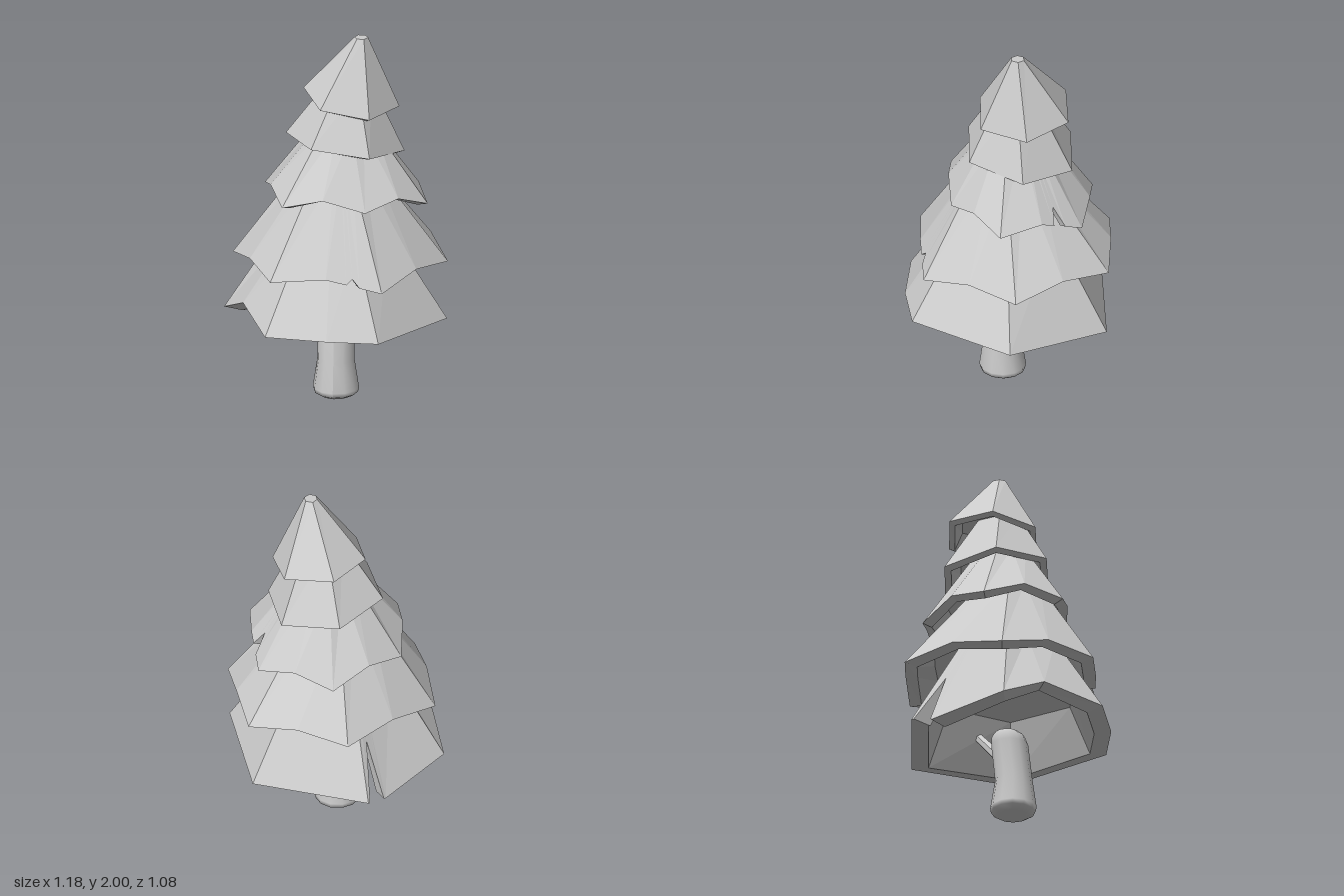
import * as THREE from 'three';

const material = new THREE.MeshStandardMaterial({ color: 0xcccccc, flatShading: true });
const barkMaterial = new THREE.MeshStandardMaterial({ color: 0xcccccc });
const vec = (x, y, z) => new THREE.Vector3(x, y, z);

// Rim outline: every edge rises and swells towards its middle.
// One edge may carry a notch, returned as the height to climb at each point.
function makeRim(corners, mid, lift, bulge, notch) {
  const rim = [], climbs = [];
  corners.forEach((a, i) => {
    const b = corners[(i + 1) % corners.length];
    const notched = notch && notch.edge === i;
    const stops = lift ? [0, 0.5] : [0];
    if (notched) stops.push(notch.at - notch.width, notch.at, notch.at + notch.width);
    for (const t of stops) {
      const arch = 1 - Math.abs(2 * t - 1);
      const spread = 1 + bulge * arch;
      const p = a.clone().lerp(b, t);
      rim.push(vec(mid.x + (p.x - mid.x) * spread, p.y + lift * arch, mid.z + (p.z - mid.z) * spread));
      climbs.push(notched && t === notch.at ? notch.rise : 0);
    }
  });
  return { rim, climbs };
}

// Hollow faceted skirt: upper ring, outer rim, inner rim, ceiling ring.
// Corners run left, front, right, back; scale is the upper ring's size relative to the rim.
function skirt({ corners, top, scale, ceiling, inner = 0.87, hollow = 0.69, lift = 0, bulge = 0, notch }) {
  const mid = new THREE.Box3().setFromPoints(corners).getCenter(vec(0, 0, 0));
  const { rim, climbs } = makeRim(corners, mid, lift, bulge, notch);
  const ring = (loop, centre, k, y) => loop.map(p =>
    vec(centre.x + (p.x - mid.x) * k, y(p), centre.z + (p.z - mid.z) * k));
  const upper = ring(rim, top, scale, () => top.y);
  // Notches climb along the sloping surface
  const outer = rim.map((p, i) => p.clone().lerp(upper[i], climbs[i] / (top.y - p.y)));
  const rings = [
    upper,
    outer,
    ring(outer, mid, inner, p => p.y - 0.015),
    ring(rim, mid, hollow, () => ceiling),
  ];
  const points = [];
  const ceilingCentre = vec(mid.x, ceiling, mid.z);
  for (let i = 0; i < outer.length; i++) {
    const j = (i + 1) % outer.length;
    for (let r = 0; r < 3; r++) {
      const up = rings[r], low = rings[r + 1];
      points.push(low[i], low[j], up[j], low[i], up[j], up[i]);
    }
    points.push(top, upper[i], upper[j]);
    points.push(ceilingCentre, rings[3][j], rings[3][i]);
  }
  const geometry = new THREE.BufferGeometry().setFromPoints(points);
  geometry.computeVertexNormals();
  return geometry;
}

export function createModel() {
  const tree = new THREE.Group();
  tree.name = 'pineTree';
  const add = (name, geometry, mat = material) => {
    const mesh = new THREE.Mesh(geometry, mat);
    mesh.name = name;
    tree.add(mesh);
    return mesh;
  };

  // Lowest skirt, arched at the left and split at the back left
  add('bottomBranches', skirt({
    corners: [
      vec(-0.59, 0.46, -0.01), vec(-0.46, 0.57, 0.2), vec(-0.3, 0.5, 0.5), vec(0.03, 0.505, 0.535),
      vec(0.3, 0.495, 0.5), vec(0.59, 0.46, -0.01), vec(0.3, 0.425, -0.52), vec(-0.33, 0.425, -0.5),
      vec(-0.39, 0.395, -0.39),
    ],
    top: vec(0, 0.95, 0.01), scale: 0.48, ceiling: 0.72, inner: 0.83, hollow: 0.62,
    notch: { edge: 7, at: 0.5, width: 0.4, rise: 0.28 },
  }));

  add('lowerBranches', skirt({
    corners: [
      vec(-0.545, 0.77, -0.02), vec(-0.28, 0.79, 0.45), vec(0.31, 0.755, 0.44),
      vec(0.59, 0.77, -0.04), vec(0.32, 0.8, -0.53), vec(-0.23, 0.8, -0.54),
    ],
    top: vec(0.02, 1.3, 0), scale: 0.33, ceiling: 0.9, lift: 0.05, bulge: 0.02,
    notch: { edge: 1, at: 0.74, width: 0.06, rise: 0.035 },
  }));

  add('middleBranches', skirt({
    corners: [
      vec(-0.39, 1.13, -0.12), vec(-0.24, 1.15, 0.29), vec(0.2, 1.145, 0.295),
      vec(0.495, 1.12, 0.04), vec(0.31, 1.07, -0.39), vec(-0.12, 1.075, -0.45),
    ],
    top: vec(0.05, 1.52, -0.04), scale: 0.35, ceiling: 1.25, lift: 0.06, bulge: 0.04,
    notch: { edge: 3, at: 0.72, width: 0.07, rise: 0.09 },
  }));

  add('upperBranches', skirt({
    corners: [
      vec(-0.27, 1.44, -0.06), vec(-0.1, 1.45, 0.2), vec(0.21, 1.415, 0.2),
      vec(0.355, 1.365, -0.08), vec(0.2, 1.355, -0.34), vec(-0.12, 1.4, -0.335),
    ],
    top: vec(0.07, 1.75, -0.05), scale: 0.36, ceiling: 1.48,
  }));

  add('topBranches', skirt({
    corners: [
      vec(-0.18, 1.69, -0.08), vec(-0.06, 1.65, 0.14), vec(0.2, 1.61, 0.14),
      vec(0.325, 1.605, -0.1), vec(0.19, 1.645, -0.32), vec(-0.08, 1.68, -0.31),
    ],
    top: vec(0.13, 2, -0.055), scale: 0.14, ceiling: 1.72,
  }));

  // Trunk with rounded ends, bent gently along its height
  const profile = [[0, 0], [0.085, 0.015], [0.117, 0.035], [0.122, 0.06], [0.098, 0.22],
    [0.097, 0.42], [0.088, 0.465], [0.065, 0.49], [0, 0.5]];
  const trunk = new THREE.LatheGeometry(profile.map(([r, y]) => new THREE.Vector2(r, y)), 12);
  const pos = trunk.attributes.position;
  for (let i = 0; i < pos.count; i++) {
    const y = pos.getY(i);
    pos.setX(i, pos.getX(i) + 0.007);
    pos.setZ(i, pos.getZ(i) + 0.018 + 0.1 * y - 0.32 * y * y);
  }
  trunk.computeVertexNormals();
  add('trunk', trunk, barkMaterial);

  // Side twig reaching up into the branches
  const from = vec(0.05, 0.36, -0.04);
  const along = vec(0.36, 0.64, -0.18).sub(from);
  const twig = add('twig', new THREE.CylinderGeometry(0.024, 0.03, along.length(), 6));
  twig.position.copy(from).addScaledVector(along, 0.5);
  twig.quaternion.setFromUnitVectors(vec(0, 1, 0), along.normalize());

  return tree;
}
